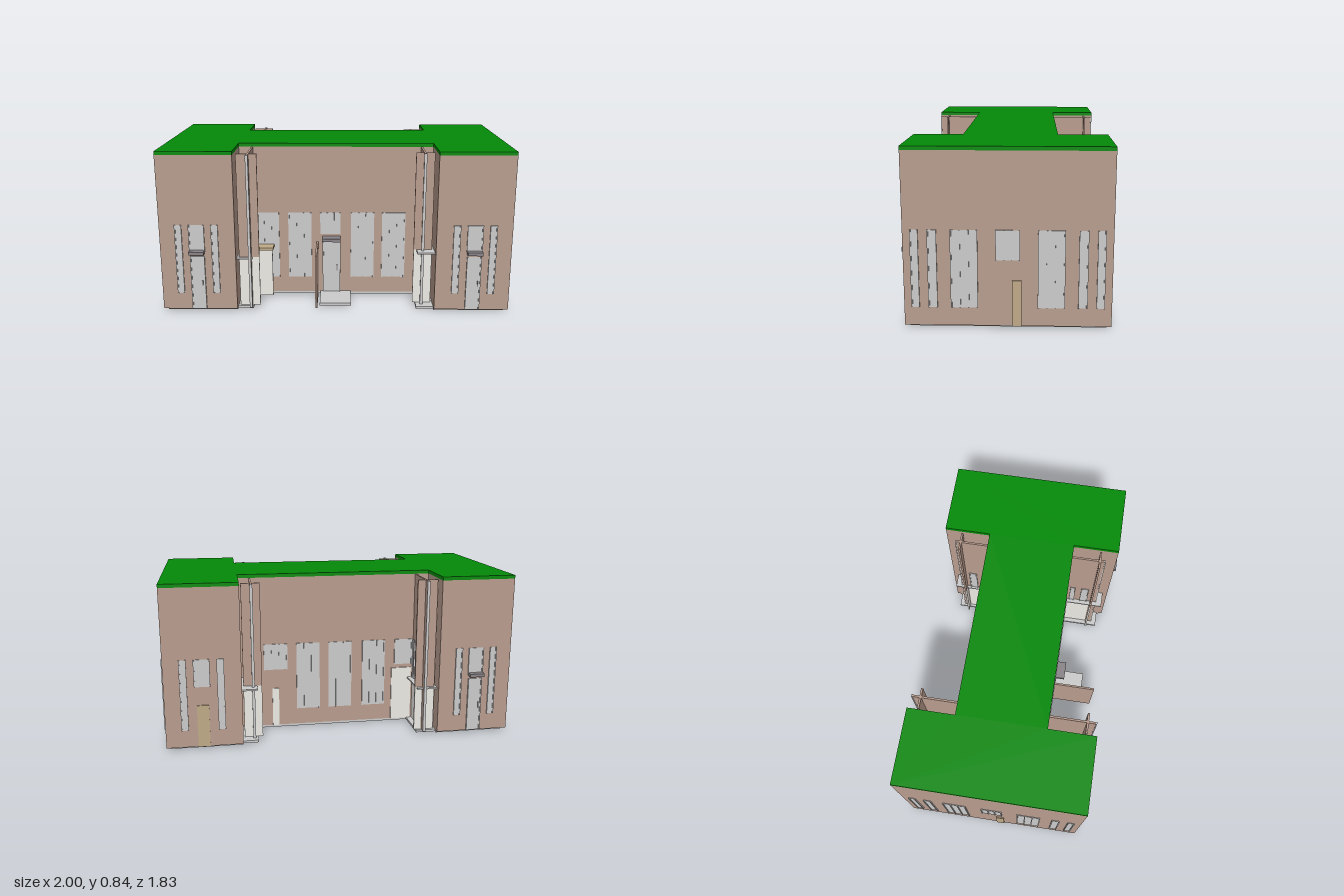
import * as THREE from 'three';

const mat = (color) => new THREE.MeshStandardMaterial({ color, side: THREE.DoubleSide });
const GREY = mat(0xcccccc), WALL = mat(0xb89c8e), ROOF = mat(0x048a08);
const TAN = mat(0xc0aa88), DARK = mat(0x8a8488), WHITE = mat(0xeceae4);

// half sizes of the H-shaped plan: overall, inner line of the wings, bar
const U = 0.893, V = 0.472, IN = 0.51, BAR = 0.23;

// Prism over the H plan, with the outer sides pulled in by inset
function plan(name, inset, y0, y1, material) {
  const u = U - inset, v = V - inset;
  const quarter = [[u, v], [IN, v], [IN, BAR]];
  const back = [...quarter].reverse();
  const pts = [
    ...quarter,
    ...back.map(([x, z]) => [-x, z]),
    ...quarter.map(([x, z]) => [-x, -z]),
    ...back.map(([x, z]) => [x, -z]),
  ];
  const shape = new THREE.Shape(pts.map(([x, z]) => new THREE.Vector2(x, z)));
  const geo = new THREE.ExtrudeGeometry(shape, { depth: y1 - y0, bevelEnabled: false });
  geo.rotateX(-Math.PI / 2).translate(0, y0, 0);
  const mesh = new THREE.Mesh(geo, material);
  mesh.name = name;
  return mesh;
}

// Box given by its ranges
function block(parent, name, [x0, x1], [y0, y1], [z0, z1], material) {
  const mesh = new THREE.Mesh(
    new THREE.BoxGeometry(Math.abs(x1 - x0), Math.abs(y1 - y0), Math.abs(z1 - z0)), material);
  mesh.position.set((x0 + x1) / 2, (y0 + y1) / 2, (z0 + z1) / 2);
  mesh.name = name;
  parent.add(mesh);
}

// Group on a wall plane; its +z points out of the wall
function facade(parent, name, x, z, turn) {
  const g = new THREE.Group();
  g.name = name;
  g.position.set(x, 0, z);
  g.rotation.y = turn;
  parent.add(g);
  return g;
}

// Pane with side frames, and mullions when it is wide
function windowPane(wall, s, w, y0 = 0.1, y1 = 0.465) {
  block(wall, 'windowPane', [s - w / 2, s + w / 2], [y0, y1], [-0.005, 0.003], GREY);
  const bars = w > 0.1 ? 4 : 2;
  for (let i = 0; i < bars; i++) {
    const x = s - w / 2 + 0.003 + (i * (w - 0.006)) / (bars - 1);
    block(wall, 'windowBar', [x - 0.003, x + 0.003], [y0, y1], [0, 0.007], GREY);
  }
}

// Door with frame, handle and canopy
function canopyDoor(wall, s, w, top, depth) {
  block(wall, 'door', [s - w / 2, s + w / 2], [0.015, top], [-0.005, 0.006], GREY);
  for (const k of [-1, 1]) {
    const x = s + (k * w) / 2;
    block(wall, 'doorFrame', [x - 0.003, x + 0.003], [0.015, top], [0, 0.01], GREY);
  }
  block(wall, 'doorHandle', [s + w * 0.3, s + w * 0.36], [0.14, 0.17], [0.006, 0.012], DARK);
  block(wall, 'doorCanopy', [s - w / 2 - 0.004, s + w / 2 + 0.004], [top + 0.015, top + 0.032], [0, depth], DARK);
}

// Porch in an inner corner: a cross of full-height thin walls, glazed at the bottom
function porch(parent, kx, kz, { x, end, arm, height, reach }) {
  const g = new THREE.Group();
  g.name = 'porch';
  parent.add(g);
  const T = 0.005;
  const across = [kx * (x - T), kx * (x + T)];
  block(g, 'porchWall', across, [height, 0.82], [kz * BAR, kz * end], WALL);
  block(g, 'porchGlass', across, [0.014, height], [kz * BAR, kz * (arm - 0.01)], WHITE);
  block(g, 'porchWallEnd', across, [0.014, height], [kz * (arm - 0.01), kz * end], WALL);
  block(g, 'porchPost', [kx * (x - 0.007), kx * (x + 0.007)], [0.014, 0.82], [kz * end, kz * (end + 0.006)], GREY);
  const thick = [kz * (arm - T), kz * (arm + T)];
  const armX = [kx * (x - 0.045), kx * (IN - 0.01)];
  block(g, 'crossWall', armX, [height, 0.82], thick, WALL);
  block(g, 'crossGlass', armX, [0.014, height], thick, WHITE);
  const face = facade(g, 'porchWindows', kx * (x - T), 0, -kx * Math.PI / 2);
  windowPane(face, kx * kz * 0.262, 0.03, height);
  windowPane(face, kx * kz * 0.333, 0.045, height);
  block(g, 'porchFloor', [kx * reach, kx * IN], [0.002, 0.014], [kz * BAR, kz * 0.44], GREY);
  block(g, 'porchCanopy', [kx * reach, kx * IN], [height - 0.008, height], [kz * BAR, kz * 0.445], GREY);
}

export function createModel() {
  const model = new THREE.Group();
  model.name = 'building';
  const house = new THREE.Group();
  house.name = 'house';
  house.rotation.y = -0.642;
  model.add(house);

  // Shell
  house.add(plan('base', 0.02, 0, 0.012, GREY));
  house.add(plan('walls', 0, 0.012, 0.822, WALL));
  house.add(plan('roof', 0, 0.822, 0.84, ROOF));

  // End walls: seven windows and a small side door
  for (const k of [1, -1]) {
    const end = facade(house, 'endWall', k * U, 0, (k * Math.PI) / 2);
    for (const m of [1, -1]) {
      windowPane(end, m * 0.42, 0.037);
      windowPane(end, m * 0.34, 0.042);
      windowPane(end, m * 0.197, 0.123);
    }
    windowPane(end, 0, 0.11, 0.325);
    block(end, 'sideDoor', [0.02, 0.063], [0.012, 0.23], [-0.005, 0.006], TAN);
  }

  // Wing walls facing front and back
  for (const kz of [1, -1]) {
    for (const kx of [1, -1]) {
      const wing = facade(house, 'wingWall', kx * 0.705, kz * V, kz > 0 ? 0 : Math.PI);
      windowPane(wing, -0.092, 0.036);
      windowPane(wing, 0.092, 0.036);
      windowPane(wing, 0, 0.08, 0.325);
      if (kx > 0 && kz < 0) block(wing, 'sideDoor', [-0.03, 0.03], [0.012, 0.23], [-0.005, 0.006], TAN);
      else canopyDoor(wing, 0, 0.068, 0.3, 0.035);
    }
  }

  // Long front wall with main entrance
  const front = facade(house, 'frontWall', 0, BAR, 0);
  for (const s of [-0.37, -0.195, 0.1425, 0.31]) windowPane(front, s, 0.125);
  windowPane(front, -0.03, 0.11, 0.345);
  canopyDoor(front, -0.025, 0.09, 0.3, 0.055);
  block(house, 'entrancePlatform', [-0.085, 0.08], [0.002, 0.016], [BAR, 0.405], GREY);
  block(house, 'entranceScreen', [-0.106, -0.096], [0.012, 0.3], [BAR, 0.465], WALL);

  // Small front side entrance: glass leaf under a light canopy
  block(house, 'sideEntranceGlass', [-0.435, -0.34], [0.014, 0.275], [0.285, 0.295], WHITE);
  block(house, 'sideEntranceCanopy', [-0.437, -0.335], [0.275, 0.288], [BAR, 0.305], TAN);

  // Long back wall
  const back = facade(house, 'backWall', 0, -BAR, Math.PI);
  for (const x of [0.146, -0.028, -0.213]) windowPane(back, -x, 0.125);
  windowPane(back, -0.32, 0.125, 0.325);
  windowPane(back, 0.38, 0.1, 0.325);
  block(back, 'narrowDoor', [-0.34, -0.305], [0.012, 0.22], [-0.005, 0.006], WHITE);
  block(back, 'backDoor', [0.315, 0.425], [0.012, 0.305], [-0.005, 0.007], WHITE);

  // Porches: wider on the -x side
  const wide = { x: 0.44, end: 0.46, arm: 0.42 };
  const slim = { x: 0.45, end: 0.405, arm: 0.38 };
  porch(house, -1, -1, { ...wide, height: 0.25, reach: 0.405 });
  porch(house, -1, 1, { ...wide, height: 0.28, reach: 0.43 });
  porch(house, 1, -1, { ...slim, height: 0.29, reach: 0.43 });
  porch(house, 1, 1, { ...slim, height: 0.31, reach: 0.42 });
  return model;
}
